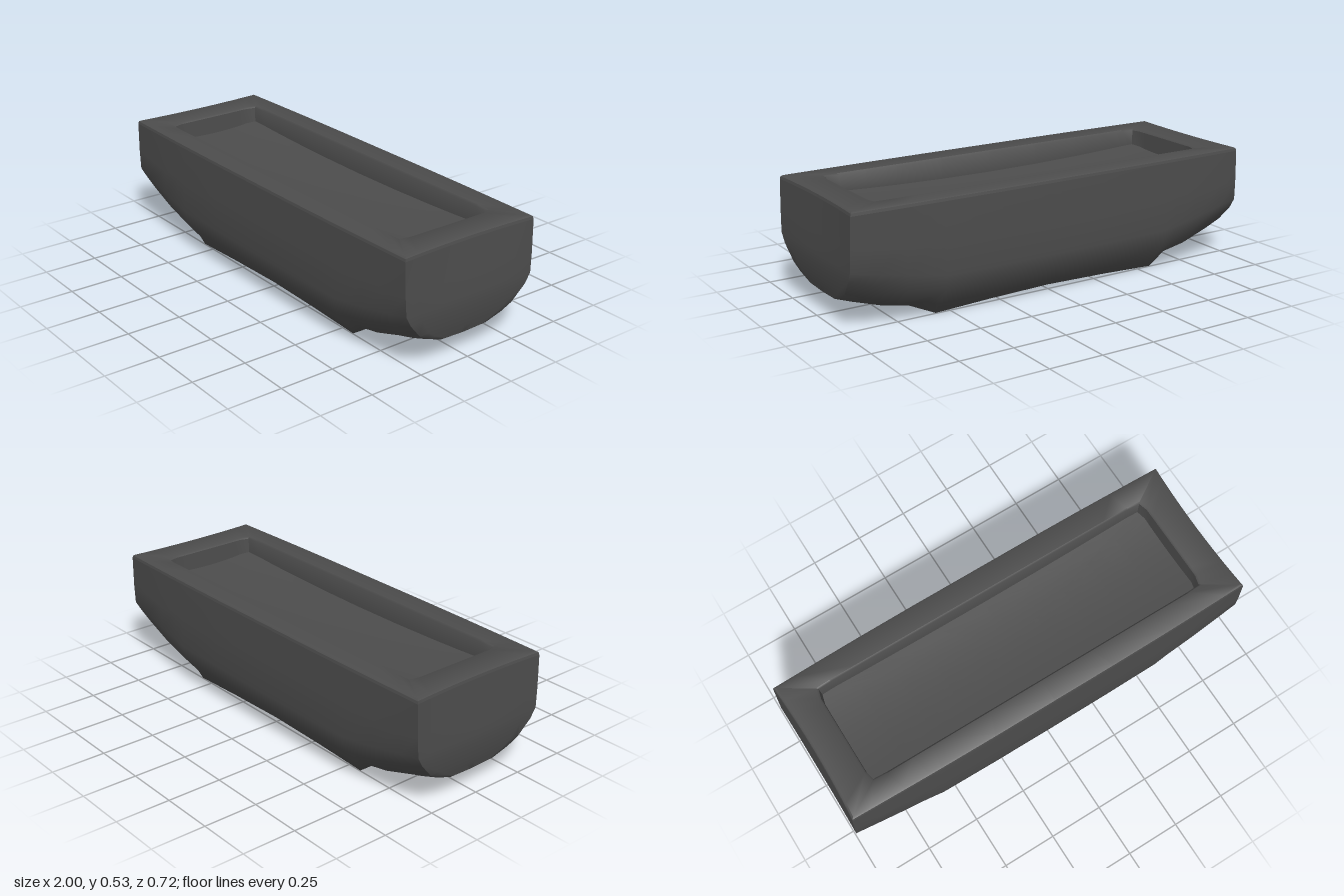
import * as THREE from 'three';
import { mergeGeometries, toCreasedNormals } from 'three/addons/utils/BufferGeometryUtils.js';

// Half cross-sections: x position, then [z, y] from the top edge down to the keel
const SECTIONS = [
  [0, [[0.352, 0.515], [0.358, 0.35], [0.36, 0.2], [0.347, 0.128], [0.275, 0.052], [0.25, 0.02], [0.14, 0.02], [0, 0.02]]],
  [0.3, [[0.352, 0.515], [0.358, 0.35], [0.359, 0.2], [0.346, 0.128], [0.275, 0.05], [0.25, 0.013], [0.14, 0.013], [0, 0.013]]],
  [0.57, [[0.35, 0.515], [0.356, 0.35], [0.356, 0.2], [0.343, 0.13], [0.275, 0.048], [0.25, 0.002], [0.14, 0], [0, 0]]],
  [0.63, [[0.349, 0.515], [0.354, 0.35], [0.353, 0.21], [0.338, 0.14], [0.275, 0.07], [0.22, 0.057], [0.13, 0.009], [0, 0.006]]],
  [0.75, [[0.347, 0.515], [0.351, 0.35], [0.349, 0.23], [0.33, 0.163], [0.27, 0.09], [0.22, 0.072], [0.13, 0.033], [0, 0.028]]],
  [0.9, [[0.344, 0.515], [0.345, 0.36], [0.341, 0.26], [0.319, 0.205], [0.258, 0.135], [0.21, 0.11], [0.125, 0.08], [0, 0.073]]],
  [1, [[0.342, 0.515], [0.34, 0.37], [0.335, 0.28], [0.31, 0.235], [0.25, 0.165], [0.2, 0.135], [0.12, 0.105], [0, 0.1]]],
];
const HALF = SECTIONS[0][1].length;
const CAP_STEPS = 10;

// How far the end wall reaches: rounded in at the bottom, hollow near the rim
function endX(y, z) {
  const base = y < 0.28
    ? 0.97 + 0.03 * Math.sin(((y - 0.1) / 0.18) * Math.PI / 2)
    : 1 - 0.008 * (y - 0.28) / 0.25;
  return base - 0.013 * Math.max(0, (y - 0.2) / 0.33) * (1 - (z / 0.342) ** 2);
}

// Surface over a grid of points
function surface(grid, flip = false) {
  const cols = grid[0].length;
  const index = [];
  for (let i = 0; i < grid.length - 1; i++) {
    for (let j = 0; j < cols - 1; j++) {
      const a = i * cols + j, b = a + 1, c = a + cols + 1, d = a + cols;
      index.push(...(flip ? [b, a, d, b, d, c] : [b, c, d, b, d, a]));
    }
  }
  const geo = new THREE.BufferGeometry();
  geo.setAttribute('position', new THREE.Float32BufferAttribute(grid.flat(2), 3));
  geo.setIndex(index);
  return geo;
}

function sectionPoints([x, half], side) {
  const at = ([z, y], s) => [side * (x === 1 ? endX(y, z) : x), y, s * z];
  return [...half.map((p) => at(p, 1)), ...half.slice(0, -1).reverse().map((p) => at(p, -1))];
}

function capGrid(side) {
  const half = SECTIONS[SECTIONS.length - 1][1];
  return Array.from({ length: CAP_STEPS + 1 }, (_, k) => {
    const t = 1 - 2 * k / CAP_STEPS;
    return half.map(([z, y]) => [side * endX(y, z * t), y, z * t]);
  });
}

// Height of the gently dished tray floor
const floorY = (x, z) => 0.455 - 0.025 * (1 - (x / 0.834) ** 2) - 0.015 * (1 - (z / 0.232) ** 2);

export function createModel() {
  const group = new THREE.Group();
  const charcoal = new THREE.MeshStandardMaterial({ color: 0x4c4c4c });
  charcoal.name = 'charcoal';
  const add = (name, geo, crease) => {
    const mesh = new THREE.Mesh(toCreasedNormals(geo, crease), charcoal);
    mesh.name = name;
    group.add(mesh);
  };

  // Sides and underside lofted along x, closed by the two end walls
  const hull = [
    ...SECTIONS.slice(1).reverse().map((s) => sectionPoints(s, -1)),
    ...SECTIONS.map((s) => sectionPoints(s, 1)),
  ];
  const leftCap = capGrid(1), rightCap = capGrid(-1);
  add('body', mergeGeometries([surface(hull), surface(leftCap), surface(rightCap, true)]), 1.1);

  // Top edge, once around the outline; u and v run from -1 to 1 along x and z
  const last = 2 * HALF - 2;
  const reach = hull[hull.length - 1][0][0];
  const edge = [
    ...hull.map((s) => ({ p: s[0], u: s[0][0] / reach, v: 1 })),
    ...leftCap.slice(1).map((c, k) => ({ p: c[0], u: 1, v: 1 - 2 * (k + 1) / CAP_STEPS })),
    ...hull.slice(0, -1).reverse().map((s) => ({ p: s[last], u: s[last][0] / reach, v: -1 })),
    ...rightCap.slice(0, -1).reverse().map((c, k) => ({ p: c[0], u: -1, v: -1 + 2 * (k + 1) / CAP_STEPS })),
  ];
  const outerRing = (fx, fz, y) => edge.map(({ p }) => [p[0] * fx, y, p[2] * fz]);
  const innerRing = (hx, hz, height) => edge.map(({ u, v }) => {
    const pull = Math.abs(u) > 0.999 && Math.abs(v) > 0.999 ? 0.986 : 1;
    const x = u * hx * pull, z = v * hz * pull;
    return [x, height(x, z), z];
  });

  // Rim rings: rounded outer edge, flat top, then down the tray wall
  add('rim', surface([
    outerRing(1, 1, 0.515),
    outerRing(0.997, 0.992, 0.527),
    outerRing(0.988, 0.97, 0.532),
    innerRing(0.848, 0.244, () => 0.529),
    innerRing(0.84, 0.237, () => 0.522),
    innerRing(0.834, 0.232, floorY),
  ]), 0.75);

  // Tray floor, closing ring by ring towards the middle
  add('trayFloor', surface([1, 0.8, 0.6, 0.4, 0.2, 0].map(
    (s) => innerRing(0.834 * s, 0.232 * s, floorY))), 0.75);
  return group;
}
